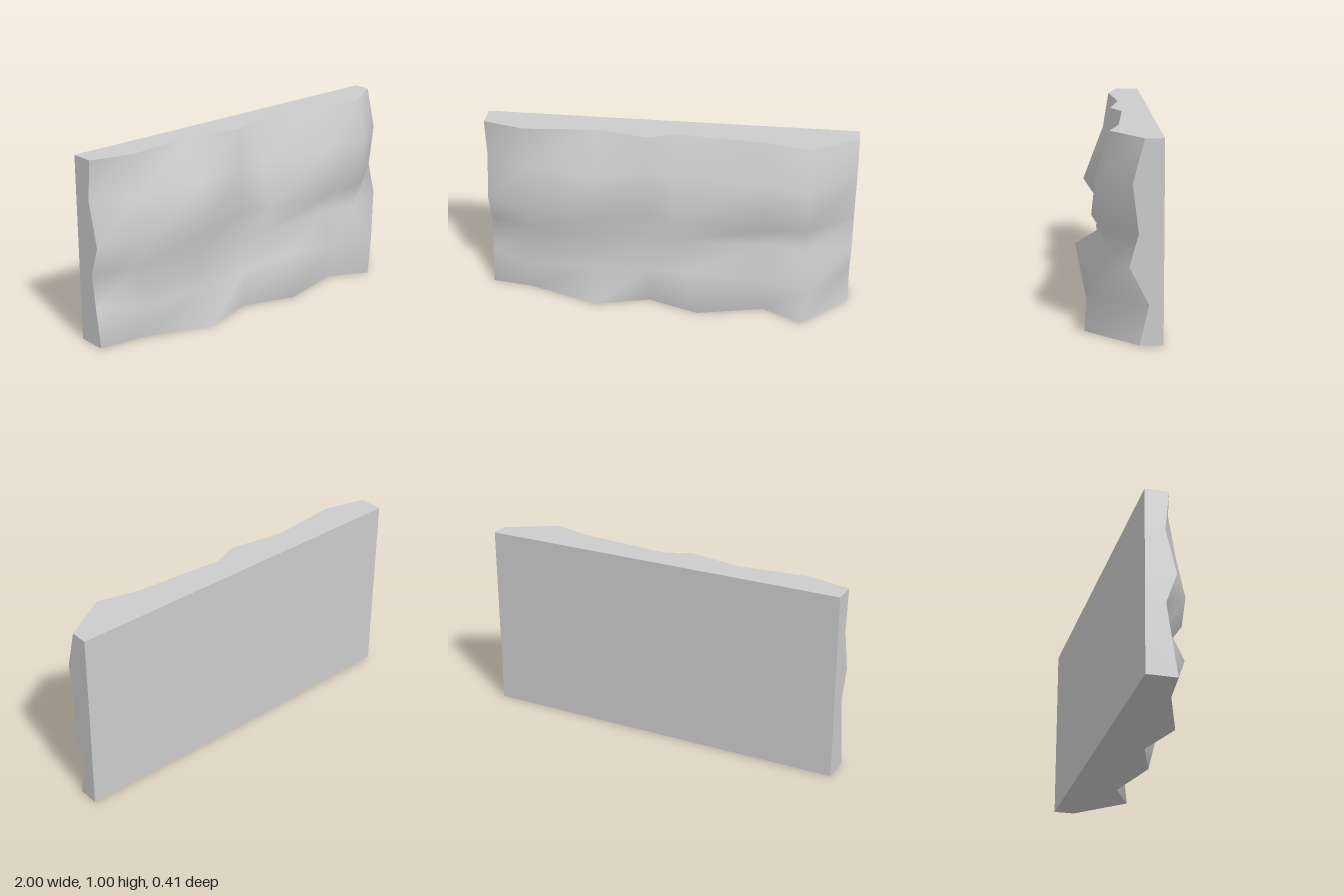
import * as THREE from 'three';

// Surface built from rows of points, each row the same length; counter-clockwise seen from outside
function loft(name, rows, material) {
  const n = rows[0].length;
  const index = [];
  for (let r = 0; r < rows.length - 1; r++) {
    for (let c = 0; c < n - 1; c++) {
      const a = r * n + c, b = a + 1, d = a + n, e = d + 1;
      index.push(a, b, e, a, e, d);
    }
  }
  const geometry = new THREE.BufferGeometry();
  geometry.setAttribute('position', new THREE.Float32BufferAttribute(rows.flat(2), 3));
  geometry.setIndex(index);
  geometry.computeVertexNormals();
  const mesh = new THREE.Mesh(geometry, material);
  mesh.name = name;
  return mesh;
}

export function createModel() {
  const group = new THREE.Group();
  group.name = 'rockWall';
  const material = new THREE.MeshStandardMaterial({ color: 0xcccccc });
  const BACK = -0.2;

  // Rock relief: depth at each crossing of the columns and rows
  const xs = [-1, -0.776, -0.39, -0.1, 0.04, 0.54, 0.747, 1];
  const ys = [0, 0.2, 0.385, 0.545, 0.785, 1];
  const depth = [
    [-0.04, -0.01, 0.125, 0.045, 0.143, 0.06, 0.172, -0.085],
    [-0.07, 0.06, 0.06, 0.04, 0.205, 0.09, 0.16, -0.13],
    [-0.096, -0.03, 0.03, 0.0, 0.03, 0.0, 0.045, -0.035],
    [-0.04, 0.07, 0.143, 0.04, 0.1, 0.13, 0.11, -0.08],
    [-0.096, 0.02, 0.06, 0.02, 0.04, 0.07, 0.115, -0.05],
    [-0.075, -0.015, -0.05, 0.005, -0.05, -0.008, 0.047, -0.107],
  ];
  const front = ys.map((y, r) => xs.map((x, c) => [x, y, depth[r][c]]));

  // Points pushed off the regular grid
  front[0][4][0] = 0.18;
  front[1][4][0] = 0.12;
  front[1][4][1] = 0.3;
  front[1][6][0] = 0.78;
  front[3][2][0] = -0.47;
  group.add(loft('rockFace', front, material));

  // Flat sides join the outline of the relief to the back plane
  const toBack = (points) => points.map(([x, y]) => [x, y, BACK]);
  const bottom = front[0];
  const top = front[front.length - 1];
  const left = front.map((row) => row[row.length - 1]);
  const right = front.map((row) => row[0]);
  group.add(loft('topSide', [top, toBack(top)], material));
  group.add(loft('bottomSide', [toBack(bottom), bottom], material));
  group.add(loft('leftSide', [toBack(left), left], material));
  group.add(loft('rightSide', [right, toBack(right)], material));

  // Plain back
  const back = new THREE.Mesh(new THREE.PlaneGeometry(2, 1), material);
  back.name = 'backPanel';
  back.rotation.y = Math.PI;
  back.position.set(0, 0.5, BACK);
  group.add(back);

  // The side strips must face outward
  for (const mesh of group.children) {
    const outward = {
      topSide: [0, 1, 0], bottomSide: [0, -1, 0], leftSide: [1, 0, 0], rightSide: [-1, 0, 0],
    }[mesh.name];
    if (!outward) continue;
    const normal = new THREE.Vector3().fromBufferAttribute(mesh.geometry.attributes.normal, 0);
    if (normal.dot(new THREE.Vector3(...outward)) < 0) {
      mesh.geometry.index.array.reverse();
      mesh.geometry.computeVertexNormals();
    }
  }
  return group;
}
